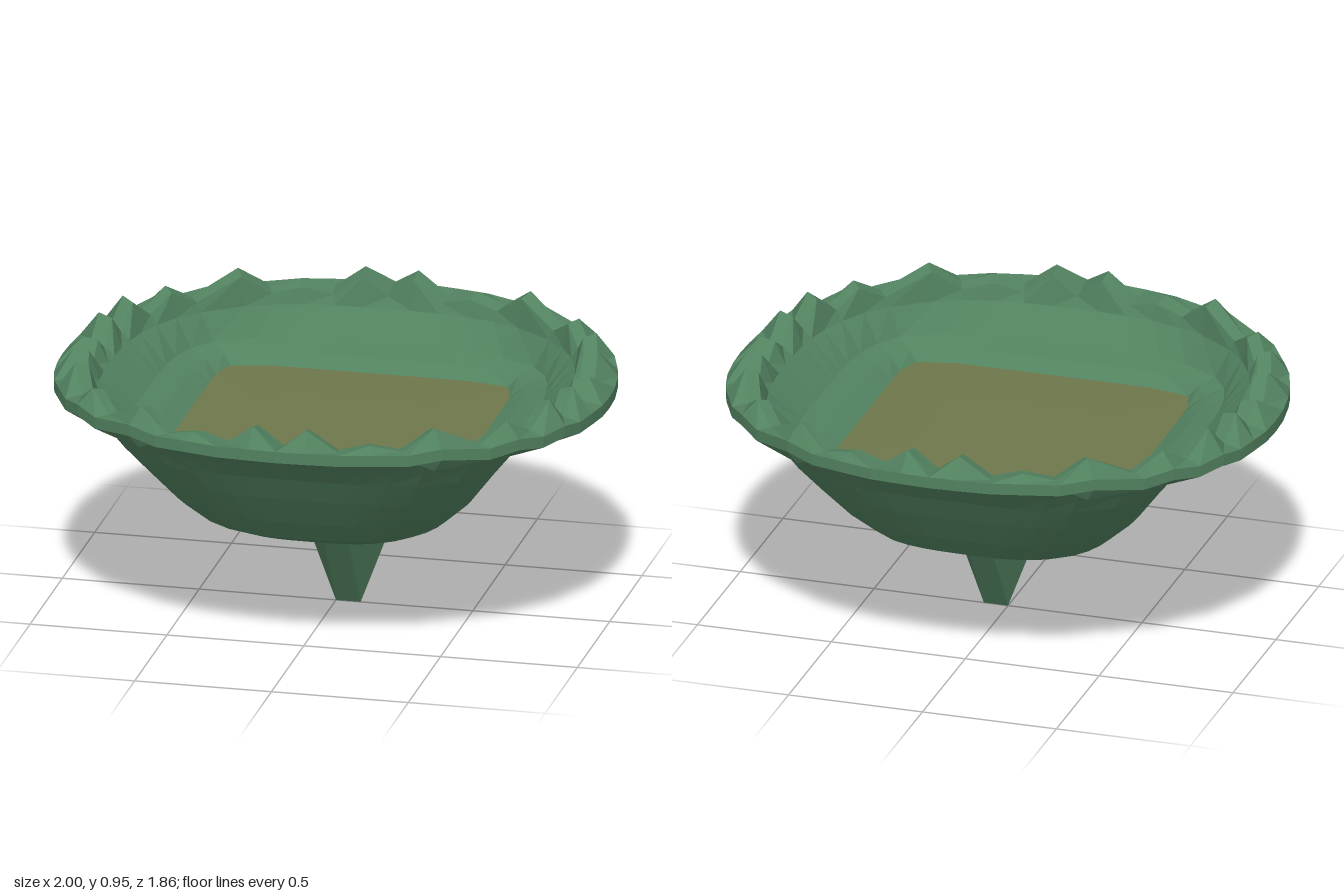
import * as THREE from 'three';

// Rim teeth over one quarter turn: angle in degrees, and height above the valley
const QUARTER = [
  [0, 0.06], [6, 0], [12.5, 0.085], [18, 0], [24, 0.09], [31, 0.005], [38, 0.065], [45, 0],
  [56, 0.08], [63, 0], [70, 0.025], [77, -0.005], [84, 0.075],
];

// Mirror the quarter all the way round
function fullTurn() {
  const half = [...QUARTER, [90, 0], ...QUARTER.slice(1).reverse().map(([a, h]) => [180 - a, h])];
  const other = [[180, QUARTER[0][1]], ...half.slice(1).reverse().map(([a, h]) => [360 - a, h])];
  return [...half, ...other].map(([a, h]) => ({ angle: THREE.MathUtils.degToRad(a), tooth: h }));
}

// Rounded-square ring: half sizes rx and rz, squareness n; lift raises front and back,
// teeth scales the tooth height and ruffle adds a wave at the four corners
function ring({ rx, rz, y, n, lift = 0, teeth = 0, ruffle = 0 }) {
  return fullTurn().map(({ angle, tooth }) => {
    const c = Math.cos(angle), s = Math.sin(angle);
    const k = Math.pow(Math.abs(c) ** n + Math.abs(s) ** n, -1 / n);
    const corner = (2 * c * s) ** 2;
    return [rx * k * c, y + lift * s * s + (teeth + ruffle * corner) * tooth, rz * k * s];
  });
}

// Skin between closed rings of equal length, bottom to top, with diagonals mirrored per quarter
function loft(rows) {
  const count = rows[0].length, index = [];
  for (let r = 0; r < rows.length - 1; r++) {
    for (let i = 0; i < count; i++) {
      const j = (i + 1) % count;
      const a = r * count + i, b = r * count + j;
      const c = a + count, d = b + count;
      if (Math.floor((4 * i) / count) % 2) index.push(a, c, d, a, d, b);
      else index.push(a, c, b, b, c, d);
    }
  }
  const geometry = new THREE.BufferGeometry();
  geometry.setAttribute('position', new THREE.Float32BufferAttribute(rows.flat(2), 3));
  geometry.setIndex(index);
  geometry.computeVertexNormals();
  return geometry;
}

export function createModel() {
  const group = new THREE.Group();
  const green = new THREE.MeshStandardMaterial({ color: 0x528260, flatShading: true });
  const olive = new THREE.MeshStandardMaterial({ color: 0x6e774b, flatShading: true });

  function add(name, rows, material) {
    const mesh = new THREE.Mesh(loft(rows), material);
    mesh.name = name;
    group.add(mesh);
  }

  // Underside: squarish below, rounder at the lip
  const outer = [
    { rx: 0, rz: 0, y: 0.305, n: 2 },
    { rx: 0.2, rz: 0.21, y: 0.328, n: 2 },
    { rx: 0.37, rz: 0.4, y: 0.342, n: 2.6, lift: 0.016 },
    { rx: 0.46, rz: 0.485, y: 0.405, n: 3.1, lift: -0.008 },
    { rx: 0.54, rz: 0.555, y: 0.48, n: 3.4 },
    { rx: 0.63, rz: 0.645, y: 0.6, n: 3.7 },
    { rx: 0.71, rz: 0.715, y: 0.7, n: 3.8 },
    { rx: 0.77, rz: 0.77, y: 0.765, n: 3.4 },
    { rx: 0.84, rz: 0.83, y: 0.8, n: 2.9, lift: 0.025 },
  ];
  add('bowlUnderside', outer.map(ring), green);

  // Ruffled lip: teeth dip below the edge and rise as blunt ridges above it
  const lip = [
    outer[outer.length - 1],
    { rx: 0.92, rz: 0.88, y: 0.84, n: 2.4, lift: 0.01, teeth: -0.45, ruffle: -0.2 },
    { rx: 1, rz: 0.93, y: 0.806, n: 2.15, lift: 0.032, ruffle: 0.25 },
    { rx: 1, rz: 0.93, y: 0.848, n: 2.15, lift: 0.032, ruffle: 0.25 },
    { rx: 0.925, rz: 0.875, y: 0.86, n: 2.25, lift: 0.015, teeth: 1 },
    { rx: 0.87, rz: 0.81, y: 0.855, n: 2.4, lift: 0.01, teeth: 0.9 },
    { rx: 0.83, rz: 0.79, y: 0.825, n: 2.6 },
  ];
  add('toothedLip', lip.map(ring), green);

  // Stepped slope from the lip down to the floor
  const inner = [
    lip[lip.length - 1],
    { rx: 0.7, rz: 0.69, y: 0.725, n: 4 },
    { rx: 0.61, rz: 0.61, y: 0.7, n: 5.5 },
    { rx: 0.54, rz: 0.55, y: 0.665, n: 11 },
  ];
  add('innerSlope', inner.map(ring), green);

  // Nearly flat floor
  const floor = [
    inner[inner.length - 1],
    { rx: 0.3, rz: 0.3, y: 0.668, n: 8 },
    { rx: 0, rz: 0, y: 0.668, n: 2 },
  ];
  add('floor', floor.map(ring), olive);

  // Wedge hanging under the bowl, set slightly to one side
  const wedgeRing = (x0, x1, e0, e1, sideY, faceY, z) => [
    [x1, sideY, 0], [e1, faceY, z], [e0, faceY, z],
    [x0, sideY, 0], [e0, faceY, -z], [e1, faceY, -z],
  ];
  add('bottomWedge', [
    wedgeRing(0, 0.09, 0, 0.09, 0, 0, 0),
    wedgeRing(-0.09, 0.18, 0, 0.09, 0.24, 0.305, 0.2),
    wedgeRing(-0.19, 0.28, -0.06, 0.15, 0.337, 0.337, 0.26),
  ], green);

  return group;
}
